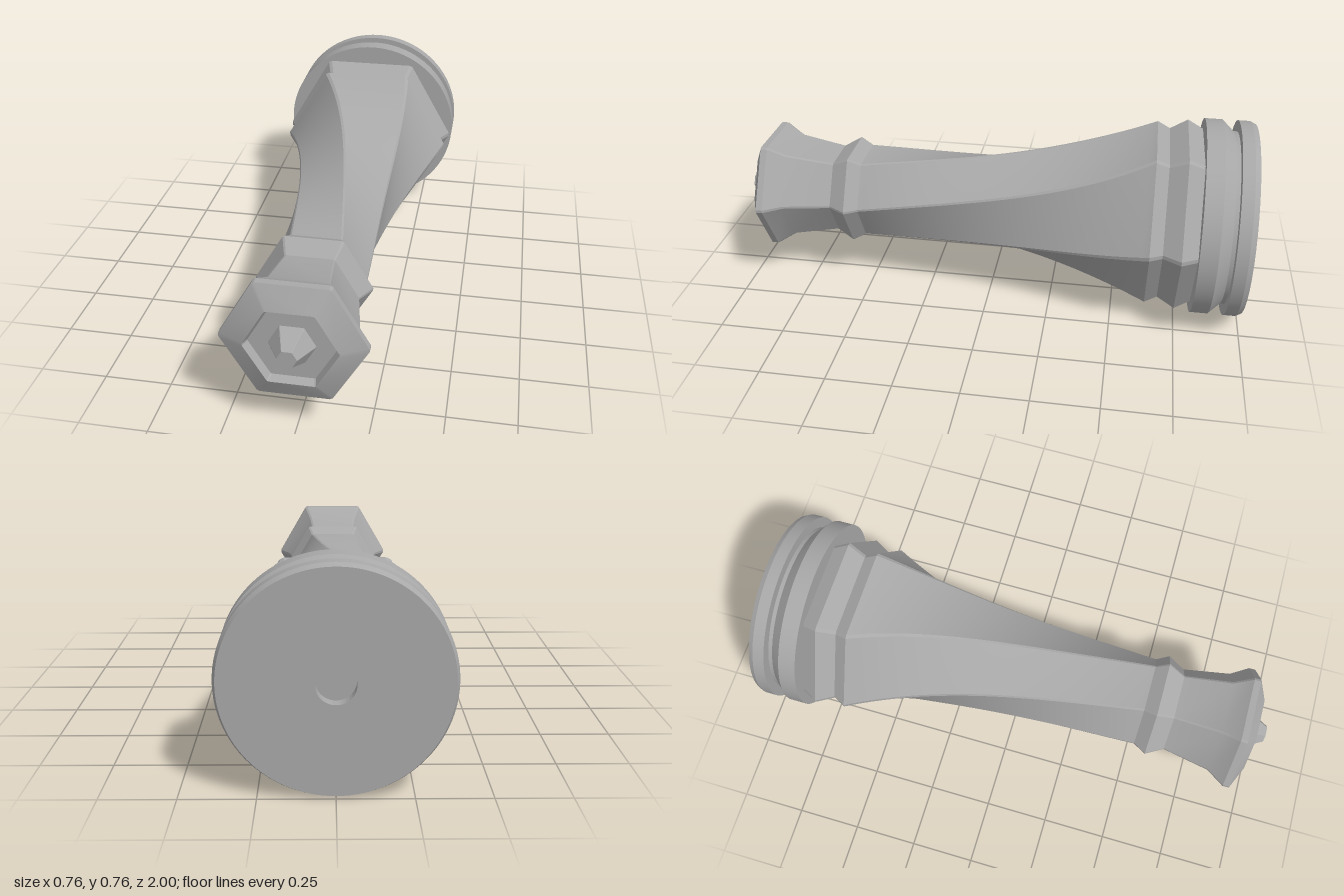
import * as THREE from 'three';
import { toCreasedNormals } from 'three/addons/utils/BufferGeometryUtils.js';

const AXIS_Y = 0.38;   // height of the lying piece's axis
const CREASE = 0.4;
const BEVEL = 0.025;   // share of each hexagon side cut off at the corners

// Bevelled hexagon: 12 points, corners on the x axis, turned by angle
function hexSection(radius, z, angle = 0) {
  const corner = (k) => new THREE.Vector3(
    radius * Math.cos(angle + k * Math.PI / 3),
    radius * Math.sin(angle + k * Math.PI / 3), z);
  const points = [];
  for (let k = 0; k < 6; k++) {
    points.push(corner(k).lerp(corner(k - 1), BEVEL), corner(k).lerp(corner(k + 1), BEVEL));
  }
  return points;
}

// Skin a list of [radius, z, angle] hexagons, ordered from back to front
function hexLoft(profile) {
  const positions = [];
  const index = [];
  for (const section of profile) {
    for (const p of hexSection(...section)) positions.push(p.x, p.y, p.z);
  }
  for (let i = 0; i < profile.length - 1; i++) {
    for (let j = 0; j < 12; j++) {
      const a = i * 12 + j;
      const b = i * 12 + (j + 1) % 12;
      // Skip the triangles that collapse at a closed end
      if (profile[i][0] > 0) index.push(a, b, a + 12);
      if (profile[i + 1][0] > 0) index.push(b, b + 12, a + 12);
    }
  }
  const geometry = new THREE.BufferGeometry();
  geometry.setAttribute('position', new THREE.Float32BufferAttribute(positions, 3));
  geometry.setIndex(index);
  return toCreasedNormals(geometry, CREASE);
}

export function createModel() {
  const group = new THREE.Group();
  const grey = new THREE.MeshStandardMaterial({ color: 0xa8a8a8 });
  grey.name = 'grey';

  const add = (name, geometry) => {
    const mesh = new THREE.Mesh(geometry, grey);
    mesh.name = name;
    mesh.position.y = AXIS_Y;
    group.add(mesh);
  };

  // Round base with a groove and a blind hole in its underside
  const baseProfile = [
    [0, -0.96], [0.065, -0.96], [0.065, -1], [0.37, -1], [0.38, -0.98],
    [0.38, -0.935], [0.337, -0.935], [0.337, -0.92], [0.38, -0.875],
    [0.38, -0.808], [0, -0.808],
  ].map(([r, z]) => new THREE.Vector2(r, z));
  const base = new THREE.LatheGeometry(baseProfile, 96).rotateX(Math.PI / 2);
  add('base', toCreasedNormals(base, CREASE));

  // Hexagonal collar between base and stem
  add('collar', hexLoft([[0.342, -0.81], [0.376, -0.748], [0.337, -0.68], [0.362, -0.632]]));

  // Stem: flares towards the base and turns by a sixth of a circle
  const stem = [];
  const steps = 40;
  for (let i = 0; i <= steps; i++) {
    const t = 1 - i / steps;
    stem.push([
      0.185 + 0.177 * t ** 2.7,
      THREE.MathUtils.lerp(0.515, -0.632, t),
      t * Math.PI / 3,
    ]);
  }
  add('twistedStem', hexLoft(stem));

  // Ring above the stem
  add('neckRing', hexLoft([[0.185, 0.515], [0.214, 0.565], [0.174, 0.632]]));

  // Flared head with a shallow recess in its end
  add('head', hexLoft([
    [0.174, 0.632], [0.208, 0.815], [0.254, 0.885], [0.254, 0.91],
    [0.162, 0.95], [0.15, 0.92], [0, 0.92],
  ]));

  // Tapered pin standing in the recess
  add('tipPin', hexLoft([[0.081, 0.92], [0.034, 1], [0, 1]]));

  return group;
}
